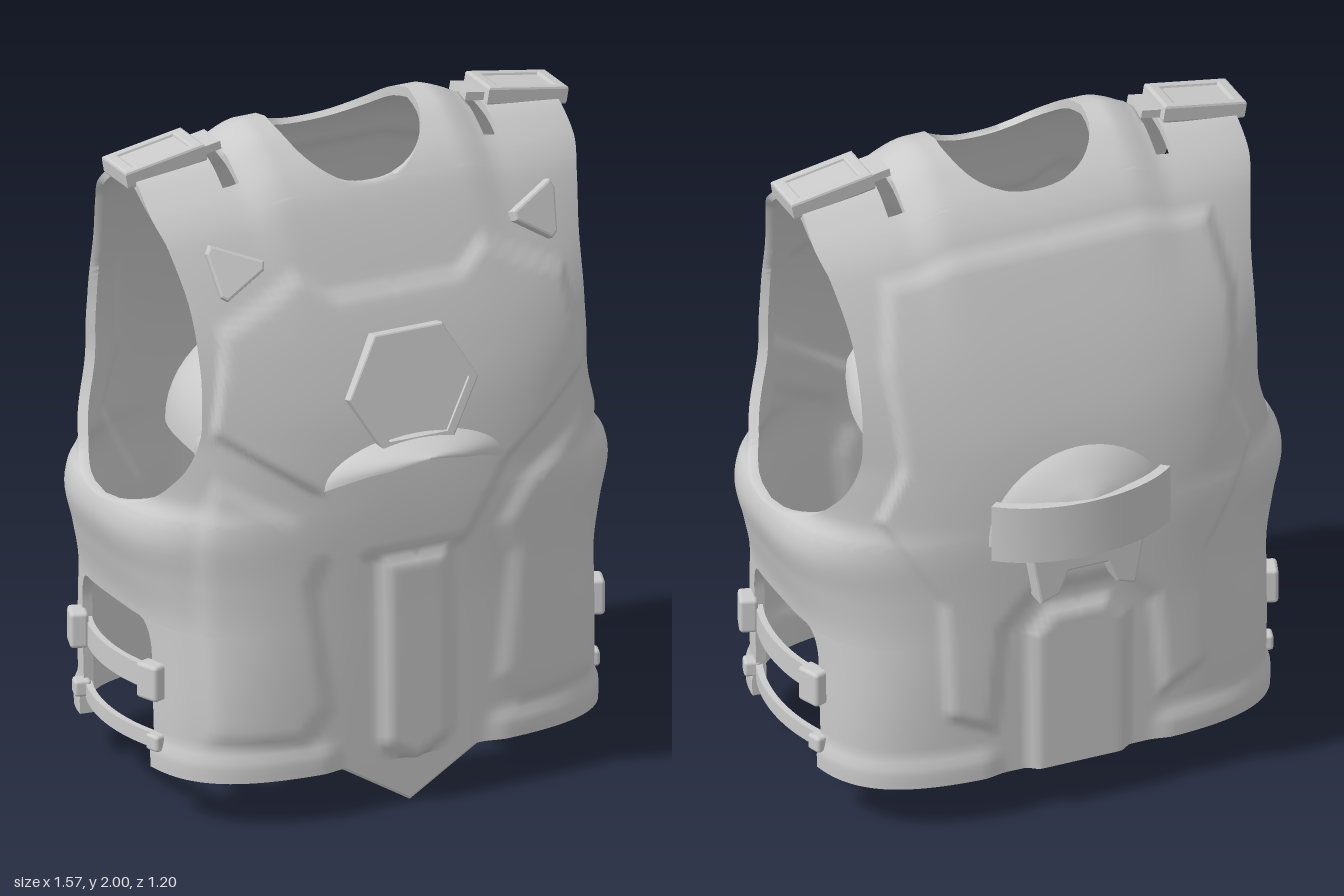
import * as THREE from 'three';
import { mergeVertices, toCreasedNormals } from 'three/addons/utils/BufferGeometryUtils.js';
import { RoundedBoxGeometry } from 'three/addons/geometries/RoundedBoxGeometry.js';

const grey = new THREE.MeshStandardMaterial({ color: 0xcccccc, side: THREE.DoubleSide });
const smooth = THREE.MathUtils.smoothstep;

// Smooth curve through [key, value] pairs
function curve(t) {
  const slope = i => {
    const a = t[Math.max(i - 1, 0)], b = t[Math.min(i + 1, t.length - 1)];
    return (b[1] - a[1]) / (b[0] - a[0]);
  };
  return k => {
    if (k <= t[0][0]) return t[0][1];
    let i = 0;
    while (i < t.length - 1 && t[i + 1][0] < k) i++;
    if (i >= t.length - 1) return t[t.length - 1][1];
    const h = t[i + 1][0] - t[i][0], s = (k - t[i][0]) / h, q = s * s, c = q * s;
    return (2 * c - 3 * q + 1) * t[i][1] + (c - 2 * q + s) * h * slope(i)
      + (3 * q - 2 * c) * t[i + 1][1] + (c - q) * h * slope(i + 1);
  };
}

// Body: half width, half depth, squareness of the section, and where the armhole cuts each level
const width = curve([[0.15, 0.7], [0.6, 0.72], [0.75, 0.755], [0.86, 0.785], [0.93, 0.775], [0.97, 0.748], [1.0, 0.74],
  [1.1, 0.755], [1.2, 0.775], [1.4, 0.86], [1.6, 0.91], [1.8, 0.925], [2, 0.92]]);
const depth = curve([[0.15, 0.485], [0.6, 0.485], [0.95, 0.485], [1.2, 0.46], [1.4, 0.412], [1.6, 0.345],
  [1.8, 0.263], [1.88, 0.208], [1.94, 0.14], [1.98, 0.075], [2, 0]]);
const power = Y => 4 - smooth(Y, 0.3, 0.85);
const armhole = curve([[0.93, 0], [0.94, 0.17], [0.96, 0.33], [0.985, 0.46], [1.03, 0.58], [1.1, 0.7],
  [1.2, 0.78], [1.3, 0.825], [1.4, 0.855], [1.6, 0.875], [1.8, 0.86], [1.9, 0.84], [2, 0.84]]);

// Raised panel with a bevelled outline
function panel(points, height, bevel) {
  return (x, y) => {
    let inside = false, d = 9;
    points.forEach(([ax, ay], i) => {
      const [bx, by] = points[(i + 1) % points.length];
      if ((ay > y) !== (by > y) && x < ax + (bx - ax) * (y - ay) / (by - ay)) inside = !inside;
      const ex = bx - ax, ey = by - ay;
      const t = Math.min(1, Math.max(0, ((x - ax) * ex + (y - ay) * ey) / (ex * ex + ey * ey)));
      d = Math.min(d, Math.hypot(x - ax - ex * t, y - ay - ey * t));
    });
    return inside ? height * smooth(d, 0, bevel) : 0;
  };
}
const frontPanels = [
  panel([[-0.2, 1.58], [0.2, 1.58], [0.3, 1.66], [0.56, 1.53], [0.61, 1.21], [0.31, 1.0], [0.17, 0.78], [-0.2, 0.78]], 0.018, 0.035),
  panel([[-0.125, 0.8], [0.125, 0.8], [0.125, 0.19], [0, 0.12], [-0.125, 0.19]], 0.028, 0.045),
  panel([[0.6, 1.1], [0.35, 0.95], [0.26, 0.82], [0.3, 0.72], [0.25, 0.34], [0.34, 0.23], [0.64, 0.25], [0.66, 0.9]], 0.013, 0.06),
];
const backPanels = [
  panel([[-0.3, 1.78], [0.52, 1.78], [0.56, 1.5], [0.53, 1.2], [0.6, 1.02], [0.43, 0.74], [0.42, 0.36],
    [0.25, 0.28], [0.22, 0.62], [0.13, 0.72], [-0.3, 0.72]], 0.018, 0.04),
  panel([[-0.3, 0.68], [0.1, 0.68], [0.165, 0.6], [0.165, 0.1], [-0.3, 0.1]], 0.024, 0.04),
];

// Point on the shell at an angle from the centre line, lifted by the panels; the inside is sunk
function shellPoint(sx, sz, angle, Y, inner) {
  const s = Math.max(0, Math.sin(angle)), c = Math.max(0, Math.cos(angle)), p = power(Y);
  const r = (s ** p + c ** p) ** (1 / p), X = s / r, Z = c / r, x = X * width(Y);
  const nx = X ** (p - 1), nz = Z ** (p - 1), n = Math.hypot(nx, nz), k = smooth(Y, 1.8, 2);
  const lift = (sz > 0 ? frontPanels : backPanels).reduce((a, f) => a + f(x, Y), 0);
  const hem = 0.015 * (1 - smooth(Y, 0.2, 0.25)) * smooth(x, 0.22, 0.3);
  const off = lift + (inner ? -0.03 : hem);
  const drop = 0.045 * smooth(x, 0.28, 0.42) + 0.08 * Math.max(0, x - 0.35);
  return [sx * (x + off * nx / n * (1 - k)), Y + off * k - drop * smooth(Y, 1.4, 2),
    sz * (Z * depth(Y) + off * nz / n * (1 - k))];
}

function shellGeometry() {
  const rows = [], pos = [], index = [], necks = { 1: 1.84, [-1]: 1.885 };
  const notchRow = 28;
  for (let i = 0; i <= notchRow; i++) rows.push([0.15 + 0.45 * (1 - (1 - i / notchRow) ** 1.3), 0]);
  for (let i = 1; i <= 18; i++) rows.push([0.6 + 0.33 * i / 18, 0]);
  const upper = [];
  for (let i = 1; i <= 62; i++) {
    const t = i / 62;
    upper.push(0.93 + 1.07 * (0.5 * t + 0.25 * (1 - Math.cos(Math.PI * t))));
  }
  // extra levels where the neckline opens
  for (const s of [1, -1]) for (const d of [0, 0.0007, 0.003, 0.007]) upper.push(necks[s] + d);
  upper.sort((a, b) => a - b).forEach(Y => rows.push([Y, Math.max(0, armhole(Y))]));

  // columns follow the strap slot (18 to 20) and the side notch (from 46)
  const stops = [0, 18, 20, 28, 46, 60], cols = 60;
  for (const sx of [1, -1]) for (const sz of [1, -1]) {
    const base = pos.length / 3, layer = rows.length * (cols + 1), neck = depth(necks[sz]);
    for (const inner of [false, true]) for (const [Y, cut] of rows) {
      const open = Y < necks[sz] ? 0 : Math.max(0, 1 - (depth(Y) / neck) ** 2.4);
      const X = 0.23 * open ** (1 / 2.4) / width(Y);
      const edge = Math.atan2(Math.cbrt(1 - cut ** 3), cut);
      const corner = Math.min(1, Math.max(0, (Y - 0.5) / 0.1));
      const notch = (sz > 0 ? 1.16 : 1.12) + 0.1 * (1 - Math.sqrt(1 - corner * corner));
      const mid = THREE.MathUtils.lerp(notch, 0.62 + 0.56 * (edge - 0.62), smooth(Y, 0.6, 0.92));
      const knots = [Math.atan2(X, Math.cbrt(1 - X ** 3)), 0.415, 0.467, 0.62, mid, edge];
      for (let i = 0; i <= cols; i++) {
        const k = Math.min(4, stops.findLastIndex(s => s <= i));
        const f = (i - stops[k]) / (stops[k + 1] - stops[k]);
        pos.push(...shellPoint(sx, sz, knots[k] + (knots[k + 1] - knots[k]) * f, Y, inner));
      }
    }
    const id = (j, i, l) => base + l * layer + j * (cols + 1) + i;
    const quad = (a, b, c, d) => sx * sz > 0 ? index.push(a, b, c, a, c, d) : index.push(a, c, b, a, d, c);
    const rim = (j, i) => quad(id(j, i, 0), id(j, i, 1), id(j + 1, i, 1), id(j + 1, i, 0));
    const lowerRim = (j, i) => quad(id(j, i, 0), id(j, i, 1), id(j, i + 1, 1), id(j, i + 1, 0));
    for (let j = 0; j < rows.length - 1; j++) {
      const slot = depth(rows[j][0]) < 0.165, notched = j < notchRow;
      for (let i = 0; i < cols; i++) {
        if ((slot && i >= 18 && i < 20) || (notched && i >= 46)) continue;
        quad(id(j, i, 0), id(j, i + 1, 0), id(j + 1, i + 1, 0), id(j + 1, i, 0));
        quad(id(j, i, 1), id(j + 1, i, 1), id(j + 1, i + 1, 1), id(j, i + 1, 1));
      }
      // rims of the slot, notch, armhole and neck
      if (slot) [18, 20].forEach(i => rim(j, i));
      if (notched) rim(j, 46);
      if (rows[j + 1][1] > 0) rim(j, cols);
      if (rows[j][0] >= necks[sz]) quad(id(j, 0, 0), id(j + 1, 0, 0), id(j + 1, 0, 1), id(j, 0, 1));
    }
    for (let i = 0; i < cols; i++) lowerRim(i < 46 ? 0 : notchRow, i);
  }
  const g = new THREE.BufferGeometry();
  g.setAttribute('position', new THREE.Float32BufferAttribute(pos, 3));
  g.setIndex(index);
  return toCreasedNormals(g, 1.2);
}

// Arched hood lofted from [z, half width, crown height, lower edge]
function hoodGeometry(sections) {
  const [w, top, low] = [1, 2, 3].map(k => curve(sections.map(s => [s[0], s[k]])));
  const z0 = sections[0][0], z1 = sections[sections.length - 1][0], pos = [], index = [], n = 24, m = 30;
  for (let j = 0; j <= m; j++) for (let i = 0; i <= n; i++) {
    const z = z0 + (z1 - z0) * j / m, a = Math.PI * i / n;
    pos.push(w(z) * Math.cos(a), low(z) + (top(z) - low(z)) * Math.sin(a), z);
    if (i < n && j < m) {
      const p = j * (n + 1) + i, q = p + n + 1;
      index.push(p, p + 1, q + 1, p, q + 1, q);
    }
  }
  const g = new THREE.BufferGeometry();
  g.setAttribute('position', new THREE.Float32BufferAttribute(pos, 3));
  g.setIndex(index);
  const merged = mergeVertices(g);
  merged.computeVertexNormals();
  return merged;
}

const shapeOf = pts => new THREE.Shape(pts.map(p => new THREE.Vector2(...p)));
const slab = (shape, d, bevel = 0.008) => new THREE.ExtrudeGeometry(shape, {
  depth: d, bevelEnabled: bevel > 0, bevelSize: bevel, bevelThickness: bevel, bevelOffset: -bevel, bevelSegments: 2 });

// Curved strap lying on an ellipse in plan
function strap(cx, cz, rx, rz, a0, a1, t, y0, y1) {
  const pts = [];
  for (const r of [0, t]) for (let i = 0; i <= 20; i++) {
    const a = a0 + (a1 - a0) * (r ? 20 - i : i) / 20;
    pts.push([cx + (rx - r) * Math.cos(a), cz + (rz - r) * Math.sin(a)]);
  }
  return toCreasedNormals(slab(shapeOf(pts), y1 - y0, 0).rotateX(Math.PI / 2).translate(0, y1, 0), 0.6);
}

export function createModel() {
  const model = new THREE.Group();
  const add = (name, geometry, parent = model, x = 0, y = 0, z = 0, rx = 0, ry = 0, rz = 0) => {
    const m = new THREE.Mesh(geometry, grey);
    m.name = name;
    m.position.set(x, y, z);
    m.rotation.set(rx, ry, rz);
    parent.add(m);
    return m;
  };
  add('vestShell', shellGeometry());

  // Pointed plate below the front hem
  add('hemPoint', slab(shapeOf([[-0.23, 0.18], [-0.23, 0.145], [0, 0.005], [0.23, 0.145], [0.23, 0.18]]), 0.024), model, 0, 0, 0.432);

  // Chest emblem: hexagonal frame and inner face
  const hex = k => [[-0.11, 0.165], [0.11, 0.165], [0.21, -0.01], [0.11, -0.18], [-0.11, -0.18], [-0.21, -0.01]].map(([x, y]) => [x * k, y * k]);
  const frame = shapeOf(hex(1));
  frame.holes.push(new THREE.Path(hex(0.88).map(p => new THREE.Vector2(...p))));
  add('hexagonFrame', slab(frame, 0.06, 0.006), model, 0, 1.285, 0.42, -0.2);
  add('hexagonFace', slab(shapeOf(hex(0.9)), 0.045, 0), model, 0, 1.285, 0.42, -0.2);

  // Inner hood: the peak comes out of the chest, the dome out of the back
  add('frontPeak', hoodGeometry([[-0.05, 0.37, 1.278, 0.92], [0.3, 0.35, 1.205, 0.94], [0.45, 0.31, 1.165, 1.0],
    [0.5, 0.28, 1.15, 1.03], [0.56, 0.17, 1.13, 1.075], [0.585, 0.1, 1.12, 1.09], [0.6, 0.01, 1.115, 1.11]]));
  add('rearDome', hoodGeometry([[-0.595, 0.02, 1.05, 0.92], [-0.58, 0.12, 1.075, 0.92], [-0.56, 0.18, 1.1, 0.92],
    [-0.5, 0.28, 1.165, 0.92], [-0.4, 0.34, 1.215, 0.92], [-0.2, 0.37, 1.26, 0.92], [-0.05, 0.37, 1.268, 0.92]]));
  add('rearBand', strap(0, -0.36, 0.36, 0.24, -2.47, -0.67, 0.03, 0.88, 1.06));
  add('rearClasp', slab(shapeOf([[-0.18, 0.9], [-0.15, 0.73], [-0.09, 0.75], [-0.06, 0.82], [0.06, 0.82], [0.09, 0.75],
    [0.15, 0.73], [0.18, 0.9]]), 0.06), model, 0, 0, -0.555);

  // Mirrored fittings
  const buckle = shapeOf([[-0.13, -0.075], [0.13, -0.075], [0.13, 0.075], [-0.13, 0.075]]);
  buckle.holes.push(new THREE.Path([[-0.09, -0.048], [-0.09, 0.048], [0.09, 0.048], [0.09, -0.048]].map(p => new THREE.Vector2(...p))));
  for (const s of [1, -1]) {
    const side = new THREE.Group();
    side.name = s > 0 ? 'leftFittings' : 'rightFittings';
    side.scale.x = s;
    model.add(side);

    const shoulder = new THREE.Group();
    shoulder.name = 'shoulderBuckle';
    shoulder.position.set(0.585, 1.937, -0.005);
    shoulder.rotation.z = -0.17;
    side.add(shoulder);
    add('buckleFrame', slab(buckle, 0.04).rotateX(-Math.PI / 2), shoulder, 0, -0.025, 0);
    add('bucklePlate', new THREE.BoxGeometry(0.2, 0.03, 0.11), shoulder);
    add('buckleStrap', new THREE.BoxGeometry(0.08, 0.025, 0.1), shoulder, -0.15, -0.012, 0);

    add('chestTriangle', slab(shapeOf([[-0.08, 0.012], [-0.075, -0.015], [0.045, -0.085], [0.065, -0.07], [0.085, 0.06], [0.07, 0.085]]), 0.02),
      side, 0.475, 1.675, 0.295, -0.4, 0.22, 0);

    add('upperSideStrap', strap(0.42, 0, 0.315, 0.45, -0.55, 0.55, 0.02, 0.38, 0.45), side);
    add('lowerSideStrap', strap(0.42, 0, 0.315, 0.45, -0.55, 0.55, 0.02, 0.205, 0.25), side);
    for (const f of [1, -1]) {
      add('strapBuckle', new RoundedBoxGeometry(0.055, 0.11, 0.08, 2, 0.012), side, 0.715, 0.425, f * 0.23, 0, -f * 0.35, 0);
      add('strapEnd', new RoundedBoxGeometry(0.05, 0.05, 0.05, 2, 0.01), side, 0.7, 0.235, f * 0.235, 0, -f * 0.3, 0);
    }
    add('hoodKnob', new THREE.SphereGeometry(0.065, 20, 14), side, 0.35, 0.93, -0.13).scale.x = 0.4;
  }
  return model;
}
